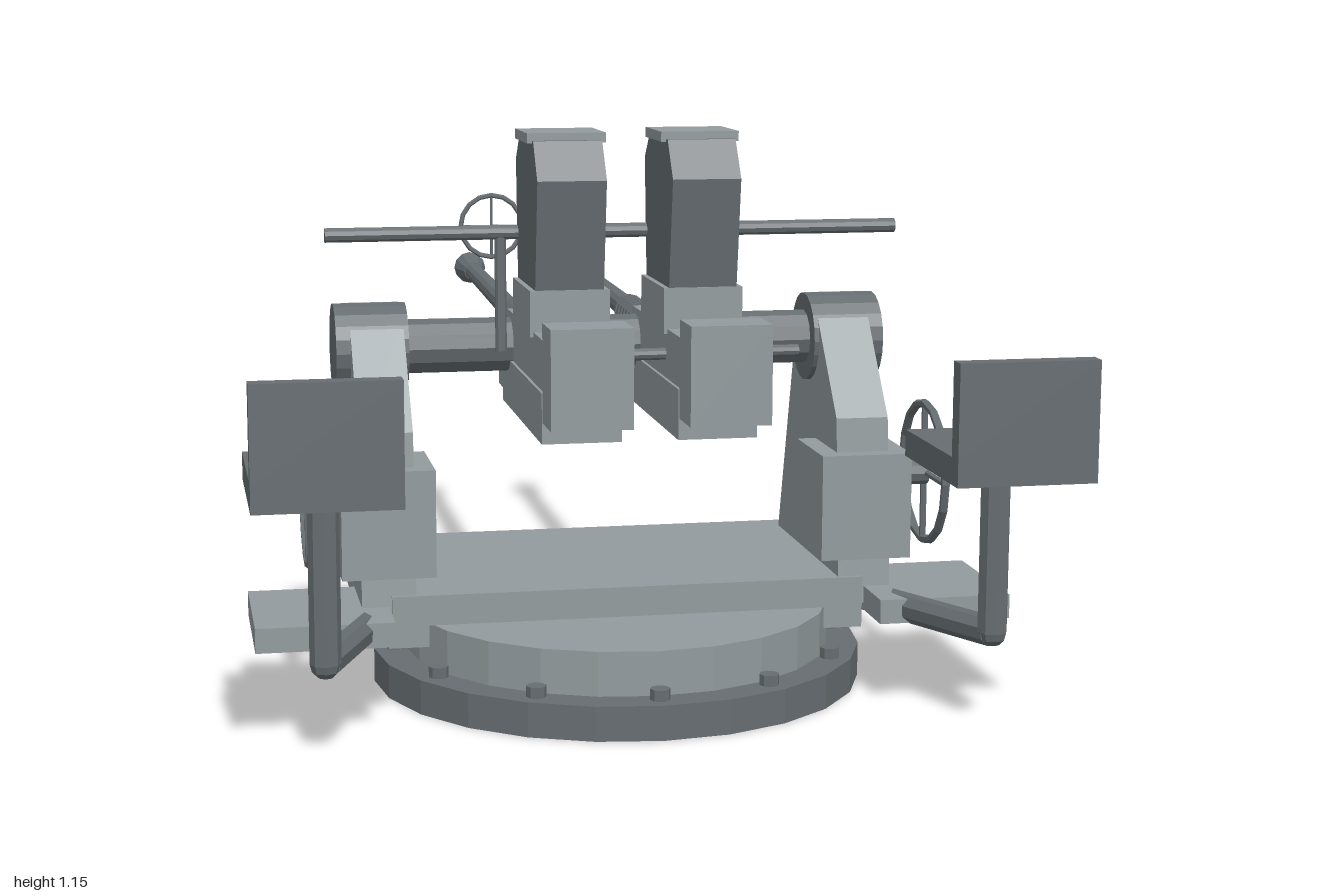
import * as THREE from 'three';

const light = new THREE.MeshStandardMaterial({ color: 0x929b9e, flatShading: true });
const dark = new THREE.MeshStandardMaterial({ color: 0x666d71, flatShading: true });

function add(parent, name, geometry, material) {
  const mesh = new THREE.Mesh(geometry, material);
  mesh.name = name;
  parent.add(mesh);
  return mesh;
}

// Box given by its limits on each axis
function box(parent, name, x0, x1, y0, y1, z0, z1, material = light) {
  const mesh = add(parent, name, new THREE.BoxGeometry(x1 - x0, y1 - y0, z1 - z0), material);
  mesh.position.set((x0 + x1) / 2, (y0 + y1) / 2, (z0 + z1) / 2);
  return mesh;
}

// Cylinder from point a to point b, radius ra at a and rb at b
function rod(parent, name, a, b, ra, rb = ra, material = dark, sides = 10) {
  const start = new THREE.Vector3(...a), end = new THREE.Vector3(...b);
  const dir = end.clone().sub(start);
  const mesh = add(parent, name, new THREE.CylinderGeometry(rb, ra, dir.length(), sides), material);
  mesh.position.copy(start).add(end).multiplyScalar(0.5);
  mesh.quaternion.setFromUnitVectors(new THREE.Vector3(0, 1, 0), dir.normalize());
  return mesh;
}

// Outline of (z, y) points extruded from x0 to x1
function sidePlate(parent, name, points, x0, x1, material) {
  const shape = new THREE.Shape(points.map(([z, y]) => new THREE.Vector2(-z, y)));
  const geometry = new THREE.ExtrudeGeometry(shape, { depth: x1 - x0, bevelEnabled: false });
  geometry.rotateY(Math.PI / 2).translate(x0, 0, 0);
  return add(parent, name, geometry, material);
}

function group(parent, name) {
  const g = new THREE.Group();
  g.name = name;
  parent.add(g);
  return g;
}

function buildBase(root) {
  const base = group(root, 'base');
  const zc = 0.305;
  rod(base, 'baseDisc', [0, 0, zc], [0, 0.07, zc], 0.512, 0.512, dark, 24);
  rod(base, 'turntable', [0, 0.07, zc], [0, 0.16, zc], 0.445, 0.445, light, 24);
  for (let i = 0; i < 12; i++) {
    const a = (i * Math.PI) / 6, x = 0.467 * Math.sin(a), z = zc + 0.467 * Math.cos(a);
    rod(base, 'bolt', [x, 0.07, z], [x, 0.092, z], 0.02, 0.02, dark, 8);
  }
  box(base, 'platform', -0.49, 0.49, 0.16, 0.222, -0.08, 0.48);
}

// Side frame with trunnion cap, gearbox, handwheel, footrest and seat; s is +1 or -1
function buildSide(root, s) {
  const side = group(root, s > 0 ? 'leftSide' : 'rightSide');
  const X = (a, b) => (s > 0 ? [a, b] : [-b, -a]);
  const frame = [[-0.04, 0.165], [0.11, 0.71], [0.135, 0.755], [0.17, 0.78], [0.23, 0.78],
    [0.275, 0.75], [0.44, 0.55], [0.475, 0.165]];
  sidePlate(side, 'sideFrame', frame, ...X(0.44, 0.55), light);
  box(side, 'frameFoot', ...X(0.41, 0.495), 0.11, 0.165, 0.3, 0.46);
  rod(side, 'trunnionCap', [s * 0.43, 0.69, 0.205], [s * 0.58, 0.69, 0.205], 0.094, 0.094, dark, 20);
  box(side, 'gearbox', ...X(0.4, 0.59), 0.26, 0.48, 0.28, 0.485);

  // Handwheel
  const wheel = group(side, 'handwheel');
  const y = 0.42, z = 0.38, x = s * 0.65;
  rod(wheel, 'wheelShaft', [s * 0.58, y, z], [s * 0.655, y, z], 0.027);
  const rim = add(wheel, 'wheelRim', new THREE.TorusGeometry(0.146, 0.009, 6, 16), dark);
  rim.rotation.y = Math.PI / 2;
  rim.position.set(x, y, z);
  rod(wheel, 'wheelSpoke', [x, y - 0.145, z], [x, y + 0.145, z], 0.007, 0.007, dark, 6);
  rod(wheel, 'wheelSpoke', [x, y, z - 0.145], [x, y, z + 0.145], 0.007, 0.007, dark, 6);

  box(side, 'footrest', ...X(0.495, 0.77), 0.15, 0.2, 0.29, 0.595);

  // Seat on a bent tube
  const seat = group(side, 'seat');
  const elbow = [s * 0.65, 0.19, 0.83];
  rod(seat, 'seatArm', [s * 0.5, 0.165, 0.39], elbow, 0.03, 0.03, dark, 8);
  rod(seat, 'seatPost', elbow, [s * 0.65, 0.52, 0.83], 0.03, 0.03, dark, 8);
  add(seat, 'seatElbow', new THREE.SphereGeometry(0.03, 8, 6), dark).position.set(...elbow);
  box(seat, 'seatPan', ...X(0.515, 0.79), 0.515, 0.568, 0.675, 1, dark);
  box(seat, 'seatBack', ...X(0.515, 0.79), 0.568, 0.75, 0.962, 1, dark);
}

function buildGun(root, x) {
  const gun = group(root, 'gun');
  box(gun, 'cradle', x - 0.065, x + 0.065, 0.57, 0.65, -0.015, 0.15);
  box(gun, 'lowerReceiver', x - 0.079, x + 0.079, 0.56, 0.66, 0.14, 0.665);
  box(gun, 'upperReceiver', x - 0.073, x + 0.073, 0.66, 0.76, 0.17, 0.68);
  box(gun, 'breechBlock', x - 0.08, x + 0.08, 0.605, 0.8, 0.68, 0.78);

  // Magazine
  box(gun, 'magazineWell', x - 0.08, x + 0.08, 0.75, 0.842, 0.3, 0.53);
  const outline = [[0.525, 0.84], [0.557, 1.06], [0.505, 1.135], [0.325, 1.135], [0.278, 1.085], [0.3, 0.84]];
  sidePlate(gun, 'magazine', outline, x - 0.069, x + 0.069, dark);
  box(gun, 'magazineCap', x - 0.079, x + 0.079, 1.13, 1.15, 0.335, 0.49);
  rod(gun, 'cockingHandle', [x + 0.06, 0.72, 0.59], [x + 0.18, 0.72, 0.59], 0.012);

  // Barrel rises slightly toward the muzzle
  const at = (z) => [x, 0.691 - 0.019 * z, z];
  rod(gun, 'barrel', at(0.18), at(-0.93), 0.029, 0.021, dark, 12);
  rod(gun, 'flashHider', at(-0.92), at(-0.985), 0.023, 0.039, dark, 12);
  rod(gun, 'muzzleRim', at(-0.985), at(-1), 0.039, 0.039, dark, 12);
  for (let i = 0; i < 11; i++) {
    const z = 0.07 - i * 0.03;
    rod(gun, 'recoilSpringCoil', at(z + 0.007), at(z - 0.007), 0.036, 0.036, dark, 12);
  }
  rod(gun, 'recoilTube', [x, 0.612, 0], [x, 0.619, -0.22], 0.024);
  rod(gun, 'recoilTubeEnd', [x, 0.616, -0.1], [x, 0.624, -0.385], 0.02);
}

function buildSight(root) {
  const sight = group(root, 'sight');
  rod(sight, 'sightBar', [-0.6, 0.935, 0.293], [0.6, 0.935, 0.293], 0.015);
  rod(sight, 'sightPost', [-0.24, 0.69, 0.3], [-0.24, 0.93, 0.293], 0.012);
  const ring = add(sight, 'sightRing', new THREE.TorusGeometry(0.065, 0.005, 6, 16), dark);
  ring.position.set(-0.24, 0.935, 0.165);
  rod(sight, 'sightWire', [-0.305, 0.935, 0.165], [-0.175, 0.935, 0.165], 0.003, 0.003, dark, 6);
  rod(sight, 'sightWire', [-0.24, 0.87, 0.165], [-0.24, 1, 0.165], 0.003, 0.003, dark, 6);
}

export function createModel() {
  const root = new THREE.Group();
  root.name = 'twinGunMount';
  buildBase(root);
  rod(root, 'crossShaft', [-0.44, 0.69, 0.205], [0.44, 0.69, 0.205], 0.057, 0.057, dark, 12);
  for (const s of [-1, 1]) {
    buildSide(root, s);
    buildGun(root, s * 0.135);
  }
  buildSight(root);
  return root;
}
